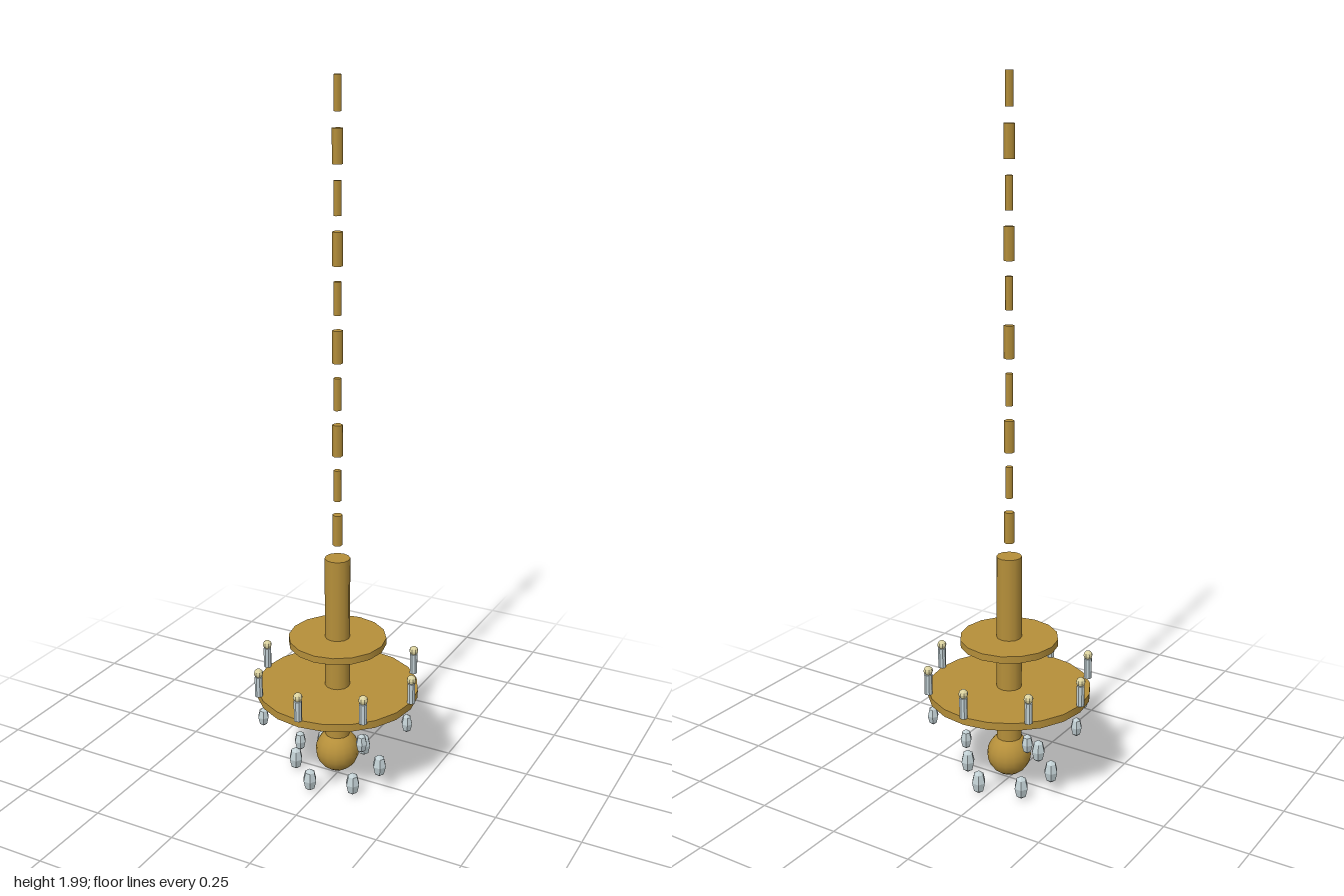
import * as THREE from 'three';

const mat = (name, color, flatShading = false) => {
  const m = new THREE.MeshStandardMaterial({ color, flatShading });
  m.name = name;
  return m;
};

export function createModel() {
  const root = new THREE.Group();
  root.name = 'chandelier';
  const gold = mat('gold', 0xb58f3a);
  const crystal = mat('crystal', 0xc2d0d4, true);
  const cream = mat('cream', 0xdcd3a0, true);

  const add = (name, geometry, material, x, y, z) => {
    const mesh = new THREE.Mesh(geometry, material);
    mesh.name = name;
    mesh.position.set(x, y, z);
    root.add(mesh);
    return mesh;
  };
  const cyl = (r, h, sides) => new THREE.CylinderGeometry(r, r, h, sides);
  // calls place(x, z, angle) for count spots on a ring
  const ring = (count, radius, offset, place) => {
    for (let i = 0; i < count; i++) {
      const a = offset + (i / count) * Math.PI * 2;
      place(Math.cos(a) * radius, Math.sin(a) * radius, a);
    }
  };
  const drop = (r, halfHeight) => new THREE.SphereGeometry(r, 6, 4).scale(1, halfHeight / r, 1);

  // chain: alternating thick and thin links
  const thick = cyl(0.0145, 0.09, 6), thin = cyl(0.0105, 0.09, 6);
  for (let i = 0; i < 10; i++) {
    add('chainLink', i % 2 ? thin : thick, gold, 0, 0.78 + i * 0.1306, 0);
  }

  // central column, two plates and bottom ball
  add('column', cyl(0.036, 0.555, 12), gold, 0, 0.4175, 0);
  add('upperPlate', cyl(0.14, 0.02, 16), gold, 0, 0.443, 0);
  add('lowerPlate', cyl(0.2335, 0.022, 20), gold, 0, 0.289, 0);
  add('bottomBall', new THREE.SphereGeometry(0.064, 16, 12), gold, 0, 0.087, 0);

  // sloping arms from the column to the lower plate
  const up = new THREE.Vector3(0, 1, 0);
  ring(8, 1, 0, (x, z) => {
    const from = new THREE.Vector3(x * 0.02, 0.19, z * 0.02);
    const to = new THREE.Vector3(x * 0.215, 0.28, z * 0.215);
    const mid = from.clone().lerp(to, 0.5);
    const arm = add('arm', cyl(0.008, from.distanceTo(to), 6), gold, mid.x, mid.y, mid.z);
    arm.quaternion.setFromUnitVectors(up, to.sub(from).normalize());
  });

  // candles with round tips around the rim
  const candle = cyl(0.0115, 0.06, 8);
  const tip = new THREE.SphereGeometry(0.0135, 8, 6);
  ring(8, 0.234, 0, (x, z) => {
    add('candle', candle, crystal, x, 0.33, z);
    add('candleTip', tip, cream, x, 0.371, z);
  });

  // hanging crystals below the rim and around the ball
  const small = drop(0.0165, 0.029), large = drop(0.021, 0.036);
  ring(8, 0.222, 0, (x, z) => add('rimCrystal', small, crystal, x, 0.231, z));
  ring(6, 0.125, THREE.MathUtils.degToRad(42), (x, z) => {
    add('lowerCrystal', large, crystal, x, 0.042, z);
  });
  const base = new THREE.Box3().setFromObject(root).min.y;
  root.children.forEach((c) => { c.position.y -= base; });
  return root;
}
